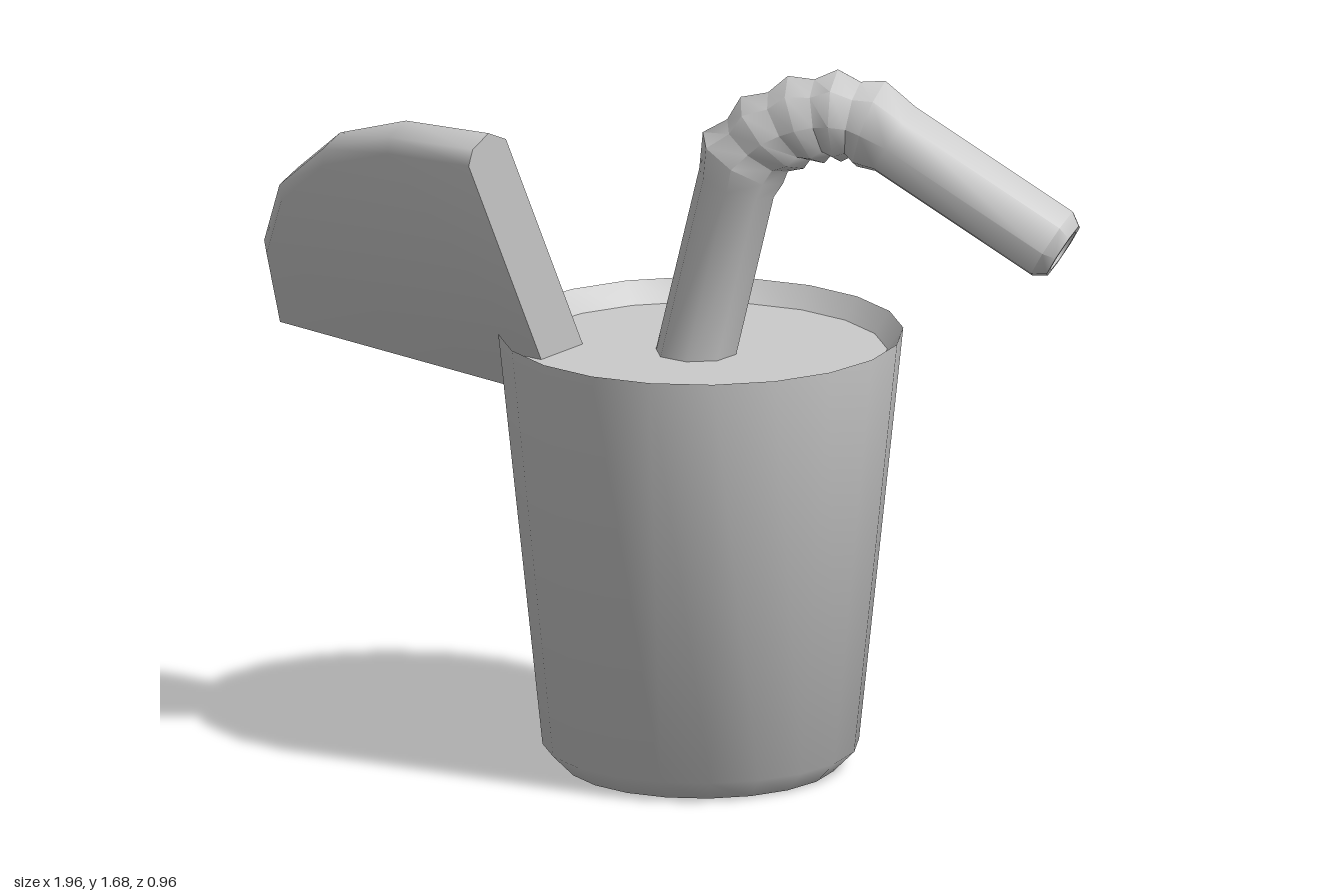
import * as THREE from 'three';
import { toCreasedNormals } from 'three/addons/utils/BufferGeometryUtils.js';

const points = (list) => list.map(([x, y]) => new THREE.Vector2(x, y));

function addMesh(parent, name, geometry, side = THREE.FrontSide) {
  const material = new THREE.MeshStandardMaterial({ color: 0xcccccc, side });
  const mesh = new THREE.Mesh(toCreasedNormals(geometry, 0.9), material);
  mesh.name = name;
  parent.add(mesh);
  return mesh;
}

// Skin a row of rings lying along a path in the xy plane: [x, y, heading in degrees, radius]
function ringTube(rings, sides) {
  const position = [], index = [];
  for (const [x, y, degrees, r] of rings) {
    const a = THREE.MathUtils.degToRad(degrees);
    for (let i = 0; i < sides; i++) {
      const t = (i / sides) * Math.PI * 2;
      const across = r * Math.cos(t);
      position.push(x - Math.sin(a) * across, y + Math.cos(a) * across, r * Math.sin(t));
    }
  }
  for (let k = 0; k < rings.length - 1; k++) {
    for (let i = 0; i < sides; i++) {
      const a = k * sides + i, b = k * sides + ((i + 1) % sides);
      index.push(a, b, b + sides, a, b + sides, a + sides);
    }
  }
  const geometry = new THREE.BufferGeometry();
  geometry.setAttribute('position', new THREE.Float32BufferAttribute(position, 3));
  geometry.setIndex(index);
  return geometry;
}

function buildStraw(parent) {
  const r = 0.093;
  const rings = [[0.06, 0.92, 76, r], [0.17, 1.39, 72, r]];

  // Bendy section: wide ribs with narrow waists halfway between them
  const ribs = [[0.185, 1.45, 60], [0.255, 1.515, 43], [0.335, 1.552, 23], [0.415, 1.567, 2], [0.49, 1.553, -18]];
  ribs.forEach((rib, i) => {
    rings.push([...rib, 0.11]);
    const next = ribs[i + 1];
    if (next) rings.push([...rib.map((v, j) => (v + next[j]) / 2), 0.092]);
  });

  // Straight mouth end with a chamfered lip, then back inside for the bore
  const heading = -31, a = THREE.MathUtils.degToRad(heading);
  const mouth = (back, radius) =>
    [0.947 - Math.cos(a) * back, 1.281 - Math.sin(a) * back, heading, radius];
  rings.push(mouth(0.465, r), mouth(0.03, r), mouth(0, 0.072), mouth(0, 0.055), mouth(0.3, 0.055), mouth(0.3, 0));
  addMesh(parent, 'straw', ringTube(rings, 8));
}

function buildFruitSlice(parent) {
  const slice = new THREE.Group();
  slice.name = 'fruitSlice';

  // Quarter disc with a rounded rind
  const profile = points([[0, -0.07], [0.73, -0.07], [0.795, -0.025], [0.805, 0.04], [0.78, 0.07], [0, 0.07]]);
  addMesh(slice, 'sliceBody', new THREE.LatheGeometry(profile, 5, 0, Math.PI / 2));

  // The two straight cut faces
  const cut = new THREE.ShapeGeometry(new THREE.Shape(profile));
  addMesh(slice, 'outwardCut', cut, THREE.DoubleSide);
  addMesh(slice, 'uprightCut', cut.clone().rotateY(-Math.PI / 2), THREE.DoubleSide);

  // Leaning over the rim, with its point sunk into the drink
  const up = new THREE.Vector3(-0.13, 0.843, 0.523).normalize();
  const normal = up.clone().cross(new THREE.Vector3(-0.932, 0.075, -0.354)).normalize();
  const out = normal.clone().cross(up);
  slice.quaternion.setFromRotationMatrix(new THREE.Matrix4().makeBasis(out, normal, up));
  slice.position.set(-0.213, 0.907, 0.035);
  parent.add(slice);
}

export function createModel() {
  const model = new THREE.Group();
  model.name = 'drink';

  // Tapered cup with a chamfered base and a sharp rim, closed by the drink's surface
  const cupProfile = points([[0, 0], [0.315, 0], [0.365, 0.05], [0.467, 1.03], [0.43, 0.98], [0, 0.98]]);
  addMesh(model, 'cup', new THREE.LatheGeometry(cupProfile, 20)).position.x = 0.085;

  buildStraw(model);
  buildFruitSlice(model);
  return model;
}
